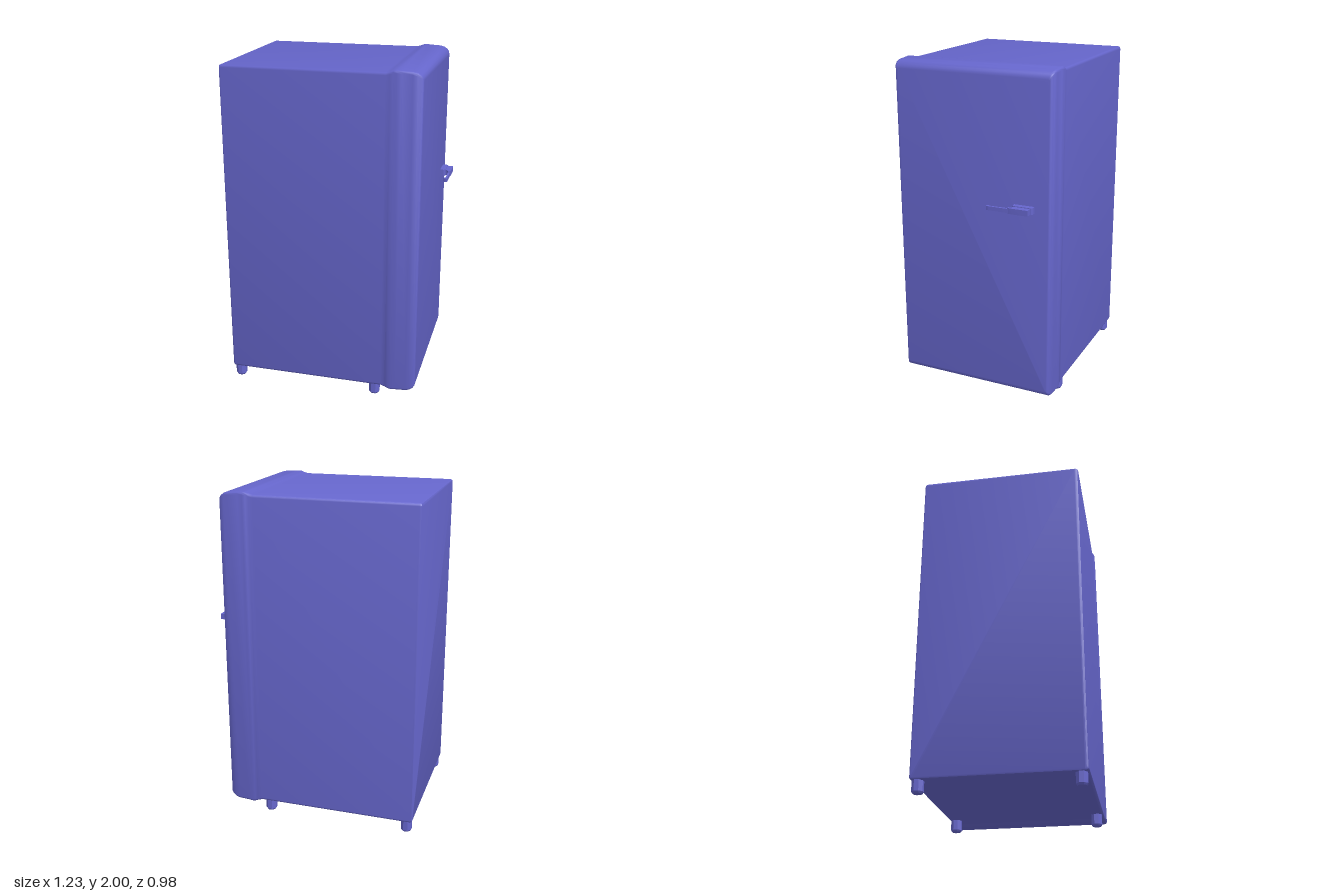
import * as THREE from 'three';
import { toCreasedNormals } from 'three/addons/utils/BufferGeometryUtils.js';

const material = new THREE.MeshStandardMaterial({ color: 0x6666cc });

function addMesh(parent, name, geometry, x = 0, y = 0, z = 0) {
  const mesh = new THREE.Mesh(geometry, material);
  mesh.name = name;
  mesh.position.set(x, y, z);
  parent.add(mesh);
  return mesh;
}

// Rounded rectangle in the y-z plane, counter-clockwise seen from +x
function ring([x, y0, y1, halfZ, r], steps = 4) {
  const points = [];
  const corners = [[y1 - r, halfZ - r], [y0 + r, halfZ - r], [y0 + r, r - halfZ], [y1 - r, r - halfZ]];
  corners.forEach(([cy, cz], q) => {
    for (let i = 0; i <= steps; i++) {
      const a = (q + i / steps) * Math.PI / 2;
      points.push([x, cy + r * Math.cos(a), cz + r * Math.sin(a)]);
    }
  });
  return points;
}

// Skin through the rings, closed at both ends
function loft(sections) {
  const rings = sections.map(s => ring(s));
  const n = rings[0].length;
  const index = [];
  for (let i = 0; i < rings.length - 1; i++) {
    for (let j = 0; j < n; j++) {
      const a = i * n + j, b = i * n + (j + 1) % n;
      index.push(a, b, b + n, a, b + n, a + n);
    }
  }
  const last = (rings.length - 1) * n;
  for (let j = 1; j < n - 1; j++) {
    index.push(0, j + 1, j, last, last + j, last + j + 1);
  }
  const geometry = new THREE.BufferGeometry();
  geometry.setAttribute('position', new THREE.Float32BufferAttribute(rings.flat(2), 3));
  geometry.setIndex(index);
  return toCreasedNormals(geometry, 0.6);
}

// Outline drawn in x and -z, given thickness in y
function slab(shape, y0, y1) {
  const geometry = new THREE.ExtrudeGeometry(shape, { depth: y1 - y0, bevelEnabled: false, curveSegments: 6 });
  geometry.rotateX(-Math.PI / 2).translate(0, y0, 0);
  return toCreasedNormals(geometry, 0.6);
}

export function createModel() {
  const group = new THREE.Group();
  group.name = 'refrigerator';

  // Cabinet and door: x, bottom, top, half width, corner radius
  addMesh(group, 'cabinetAndDoor', loft([
    [-0.618, 0.082, 1.973, 0.468, 0.010],
    [-0.614, 0.074, 1.981, 0.476, 0.014],
    [-0.604, 0.070, 1.985, 0.480, 0.016],
    [0.340, 0.070, 1.985, 0.480, 0.016],
    [0.365, 0.064, 1.991, 0.483, 0.016],
    [0.385, 0.057, 1.998, 0.487, 0.016],
    [0.402, 0.055, 2.000, 0.489, 0.016],
    [0.430, 0.057, 1.998, 0.487, 0.016],
    [0.490, 0.060, 1.995, 0.486, 0.016],
    [0.515, 0.066, 1.989, 0.484, 0.016],
    [0.535, 0.079, 1.976, 0.478, 0.014],
    [0.545, 0.092, 1.963, 0.472, 0.012],
    [0.548, 0.106, 1.949, 0.465, 0.010],
  ]));

  // Handle mount on the door
  const mount = new THREE.Shape();
  mount.moveTo(0.54, 0.263);
  mount.lineTo(0.570, 0.263);
  mount.lineTo(0.580, 0.272);
  mount.lineTo(0.580, 0.375);
  mount.lineTo(0.570, 0.385);
  mount.lineTo(0.54, 0.385);
  addMesh(group, 'handleMount', slab(mount, 1.204, 1.243));

  // Handle grip block
  const grip = new THREE.Shape();
  grip.moveTo(0.575, 0.272);
  grip.lineTo(0.588, 0.272);
  grip.quadraticCurveTo(0.597, 0.268, 0.599, 0.250);
  grip.lineTo(0.612, 0.250);
  grip.lineTo(0.616, 0.275);
  grip.lineTo(0.616, 0.373);
  grip.lineTo(0.575, 0.373);
  addMesh(group, 'handleGrip', slab(grip, 1.206, 1.239));

  // Thin lever with a swollen tip
  const lever = new THREE.Shape();
  lever.moveTo(0.599, 0.256);
  lever.lineTo(0.601, 0.145);
  lever.quadraticCurveTo(0.600, 0.133, 0.591, 0.127);
  lever.quadraticCurveTo(0.589, 0.118, 0.598, 0.117);
  lever.lineTo(0.609, 0.117);
  lever.quadraticCurveTo(0.613, 0.122, 0.613, 0.140);
  lever.lineTo(0.613, 0.256);
  addMesh(group, 'handleLever', slab(lever, 1.209, 1.233));

  // Four feet with a chamfered lower edge
  const footProfile = [[0, 0], [0.027, 0], [0.034, 0.010], [0.034, 0.085], [0, 0.085]]
    .map(([r, y]) => new THREE.Vector2(r, y));
  const foot = toCreasedNormals(new THREE.LatheGeometry(footProfile, 8, Math.PI / 8), 0.5);
  for (const x of [-0.578, 0.293]) {
    for (const side of [-1, 1]) {
      addMesh(group, x < 0 ? 'rearFoot' : 'doorSideFoot', foot, x, 0, side * 0.438);
    }
  }

  return group;
}
